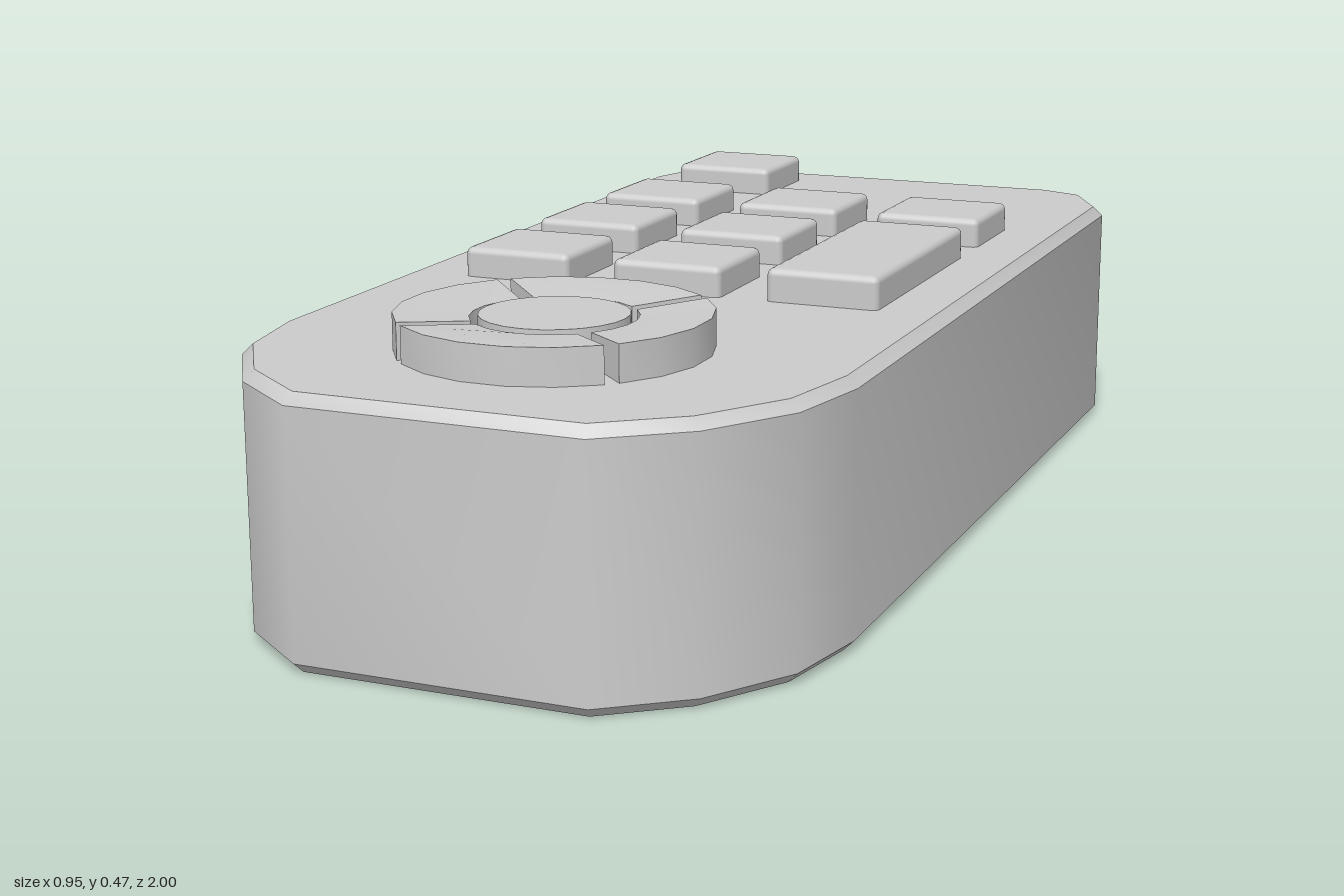
import * as THREE from 'three';
import { toCreasedNormals } from 'three/addons/utils/BufferGeometryUtils.js';
import { RoundedBoxGeometry } from 'three/addons/geometries/RoundedBoxGeometry.js';

const material = new THREE.MeshStandardMaterial({ color: 0xcccccc });
const CREASE = 0.72;
const BODY_TOP = 0.413;
const PAD_Z = 0.61;

function addMesh(parent, name, geometry, x = 0, y = 0, z = 0) {
  const mesh = new THREE.Mesh(geometry, material);
  mesh.name = name;
  mesh.position.set(x, y, z);
  parent.add(mesh);
  return mesh;
}

// Extrudes an outline given as [x, z] pairs upwards from y = 0
function extrudeUp(points, height, bevel = 0) {
  const shape = new THREE.Shape(points.map(([x, z]) => new THREE.Vector2(x, -z)));
  const geometry = new THREE.ExtrudeGeometry(shape, {
    depth: height - 2 * bevel,
    bevelEnabled: bevel > 0,
    bevelThickness: bevel,
    bevelSize: bevel,
    bevelOffset: -bevel,
    bevelSegments: 1,
  });
  geometry.translate(0, 0, bevel);
  geometry.rotateX(-Math.PI / 2);
  return geometry;
}

// One quarter of the direction ring, with straight parallel gaps at its ends
function padQuarter(mid) {
  const outer = 0.24, inner = 0.127, gap = 0.011, steps = 5, height = 0.08;
  const arc = (r) => {
    const half = Math.PI / 4 - Math.asin(gap / r);
    return Array.from({ length: steps + 1 }, (_, i) => {
      const a = mid - half + (2 * half * i) / steps;
      return [r * Math.cos(a), r * Math.sin(a)];
    });
  };
  const geometry = extrudeUp([...arc(outer), ...arc(inner).reverse()], height);
  // The top dips slightly towards the centre
  const p = geometry.attributes.position;
  for (let i = 0; i < p.count; i++) {
    if (p.getY(i) > height / 2 && Math.hypot(p.getX(i), p.getZ(i)) < 0.18) p.setY(i, height - 0.008);
  }
  geometry.computeVertexNormals();
  return toCreasedNormals(geometry, CREASE);
}

export function createModel() {
  const remote = new THREE.Group();
  remote.name = 'remoteControl';

  // Body: rounded front end, small corners at the back
  const frontLeft = [[0.475, 0.61], [0.445, 0.765], [0.355, 0.905], [0.23, 1]];
  const frontRight = frontLeft.map(([x, z]) => [-x, z]).reverse();
  const outline = [
    ...frontLeft, ...frontRight,
    [-0.475, -0.84], [-0.446, -0.935], [-0.366, -1],
    [0.325, -1], [0.41, -0.965], [0.475, -0.84],
  ];
  addMesh(remote, 'body', toCreasedNormals(extrudeUp(outline, BODY_TOP, 0.017), CREASE));

  // Square buttons and the long rocker
  const buttons = new THREE.Group();
  buttons.name = 'buttons';
  remote.add(buttons);
  const addButton = (name, x, z, length, top) => {
    const height = 0.1;
    addMesh(buttons, name, new RoundedBoxGeometry(0.19, height, length, 2, 0.012), x, top - height / 2, z);
  };
  const columns = [-0.268, 0.003, 0.27];
  addButton('powerButton', columns[0], -0.815, 0.19, 0.463);
  for (const z of [-0.453, -0.175, 0.108]) {
    for (const x of columns.slice(0, 2)) addButton('squareButton', x, z, 0.19, 0.463);
  }
  addButton('squareButton', columns[2], -0.453, 0.19, 0.463);
  addButton('rockerButton', columns[2], -0.036, 0.465, 0.467);

  // Direction pad: four ring quarters around a round centre button
  const pad = new THREE.Group();
  pad.name = 'directionPad';
  pad.position.set(0, 0.39, PAD_Z);
  remote.add(pad);
  ['padLeft', 'padFront', 'padRight', 'padBack'].forEach((name, i) => {
    addMesh(pad, name, padQuarter((i * Math.PI) / 2));
  });
  addMesh(pad, 'centerButton', new THREE.CylinderGeometry(0.114, 0.114, 0.076, 24), 0, 0.038, 0);

  return remote;
}
